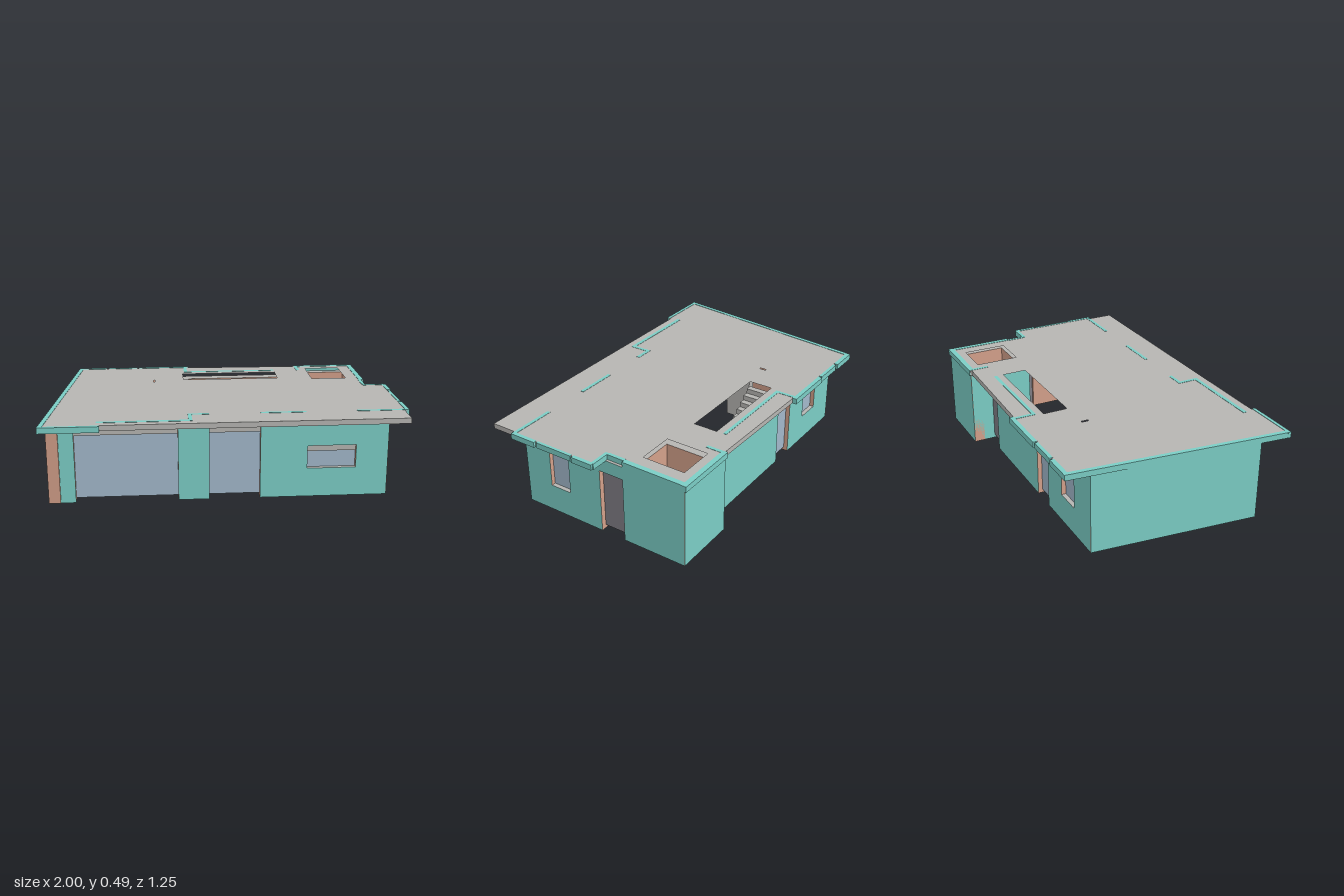
import * as THREE from 'three';

const mat = (name, color) => new THREE.MeshStandardMaterial({ name, color });

export function createModel() {
  const teal = mat('teal render', 0x7bcdc5);
  const grey = mat('concrete grey', 0xb6b5b2);
  const salmon = mat('salmon plaster', 0xd3a08a);
  const blue = mat('window blue', 0xa2b8ca);
  const dark = mat('door grey', 0x807e85);

  const model = new THREE.Group();
  model.name = 'house';
  const TOP = 0.457, T = 0.065;

  // box given by its minimum and maximum corners
  const box = (parent, name, material, x0, x1, y0, y1, z0, z1) => {
    const mesh = new THREE.Mesh(new THREE.BoxGeometry(x1 - x0, y1 - y0, z1 - z0), material);
    mesh.position.set((x0 + x1) / 2, (y0 + y1) / 2, (z0 + z1) / 2);
    mesh.name = name;
    parent.add(mesh);
    return mesh;
  };

  // a facade runs along local x with its outer face at local z = 0
  const skin = [salmon, salmon, grey, grey, teal, salmon];
  const facade = (name, x, z, angle) => {
    const g = new THREE.Group();
    g.name = name;
    g.position.set(x, 0, z);
    g.rotation.y = angle;
    model.add(g);
    return g;
  };
  const wall = (g, a, b, y0 = 0, y1 = TOP) => box(g, 'wall', skin, a, b, y0, y1, -T, 0);
  const windowIn = (g, a, b, y0, y1, boxTop) => {
    if (y0 > 0.1) wall(g, a, b, 0, y0);
    box(g, 'windowPane', blue, a, b, y0, y1, -0.04, -0.025);
    box(g, 'shutterBox', grey, a, b, y1, boxTop, -0.06, -0.015);
    wall(g, a, b, boxTop, TOP);
  };
  const doorIn = (g, a, b) => {
    box(g, 'door', dark, a, b, 0.02, 0.38, -0.05, -0.03);
    wall(g, a, b, 0.38, TOP);
  };

  // front facade
  const front = facade('frontFacade', 0, 0.45, 0);
  [[-0.97, -0.83], [-0.27, -0.1], [0.18, 0.44], [0.71, 0.888]].forEach(([a, b]) => wall(front, a, b));
  windowIn(front, -0.83, -0.27, 0.02, 0.38, 0.415);
  windowIn(front, -0.1, 0.18, 0.02, 0.38, 0.415);
  windowIn(front, 0.44, 0.71, 0.165, 0.26, 0.295);

  // left-hand facade (+x), local x = -z
  const right = facade('sideFacade', 0.89, 0, Math.PI / 2);
  [[-0.448, -0.28], [-0.15, 0.06], [0.21, 0.588]].forEach(([a, b]) => wall(right, a, b));
  windowIn(right, -0.28, -0.15, 0.16, 0.38, 0.415);
  doorIn(right, 0.06, 0.21);

  // back facade, local x = -x
  const back = facade('backFacade', 0, -0.49, Math.PI);
  [[-0.37, 0.22], [0.36, 0.53], [0.68, 0.868]].forEach(([a, b]) => wall(back, a, b));
  windowIn(back, 0.22, 0.36, 0.02, 0.38, 0.415);
  windowIn(back, 0.53, 0.68, 0.16, 0.38, 0.415);
  doorIn(back, -0.52, -0.37);

  // slanted facade (-x)
  const slant = facade('slantedFacade', -0.87, -0.49, Math.atan2(-0.94, -0.108));
  wall(slant, 0, 0.946);

  // projecting corner room with open shaft
  const roomBack = facade('roomBack', 0, -0.59, Math.PI);
  wall(roomBack, -0.888, -0.52);
  const roomSide = facade('roomSide', 0.52, 0, -Math.PI / 2);
  wall(roomSide, -0.588, -0.21);
  box(model, 'roomPartition', [salmon, salmon, grey, grey, salmon, salmon], 0.58, 0.83, 0, TOP, -0.27, -0.21);
  box(model, 'partition', grey, -0.6, -0.55, 0, TOP, -0.1, 0.06);

  // roof slab with stair, shaft and flue openings
  const outline = [[-1, 0.61], [-0.68, 0.605], [-0.68, 0.595], [0.97, 0.59], [0.97, 0.44], [0.985, 0.44],
    [0.985, -0.1], [0.86, -0.09], [0.87, -0.21], [0.885, -0.21], [0.885, -0.595], [0.51, -0.595],
    [0.51, -0.585], [-0.17, -0.6], [-0.86, -0.61]];
  const shape = new THREE.Shape(outline.map(p => new THREE.Vector2(...p)));
  [[-0.21, 0.37, -0.44, -0.3], [0.58, 0.79, -0.52, -0.27], [-0.395, -0.385, -0.3, -0.26]].forEach(([a, b, c, d]) => {
    shape.holes.push(new THREE.Path([[a, c], [a, d], [b, d], [b, c]].map(p => new THREE.Vector2(...p))));
  });
  const slab = new THREE.ExtrudeGeometry(shape, { depth: 0.03, bevelEnabled: false });
  slab.rotateX(Math.PI / 2).translate(0, 0.485, 0);
  const roof = new THREE.Mesh(slab, grey);
  roof.name = 'roof';
  model.add(roof);

  // teal roof edging: x0, x1, z0, z1
  [[-1, -0.68, 0.6, 0.62], [-0.86, -0.69, -0.625, -0.6], [-0.675, -0.495, -0.62, -0.6],
    [-0.485, -0.17, -0.625, -0.6], [0.975, 0.998, -0.1, 0.03], [0.975, 0.992, 0.04, 0.27],
    [0.975, 0.998, 0.28, 0.44], [0.86, 0.985, -0.105, -0.085], [0.86, 0.89, -0.595, -0.21],
    [0.855, 0.875, -0.21, -0.105], [0.515, 0.892, -0.6, -0.57]].forEach(([a, b, c, d]) =>
    box(model, 'roofEdge', teal, a, b, 0.454, 0.487, c, d));
  const edge = facade('slantedRoofEdge', -0.861, -0.615, Math.atan2(-1.225, -0.139));
  box(edge, 'roofEdge', teal, 0, 1.232, 0.454, 0.487, -0.025, 0);

  // thin inlaid strips on the roof
  [[-0.7, -0.2, 0.53, 0.552], [-0.215, -0.195, 0.42, 0.552], [-0.195, -0.1, 0.42, 0.44],
    [0.18, 0.43, 0.42, 0.44], [0.71, 0.975, 0.42, 0.44], [-0.2, -0.18, -0.6, -0.48],
    [-0.18, 0.37, -0.5, -0.48], [0.515, 0.535, -0.57, -0.48]].forEach(([a, b, c, d]) =>
    box(model, 'roofStrip', teal, a, b, 0.484, 0.4865, c, d));

  // staircase descending toward +x
  const steps = 16, run = 0.58 / steps, rise = 0.455 / steps;
  for (let i = 0; i < steps; i++) {
    const y = 0.455 - i * rise;
    box(model, 'stairStep', grey, -0.21 + i * run, -0.21 + (i + 1) * run, Math.max(0, y - 0.06), y, -0.44, -0.3);
  }
  return model;
}
